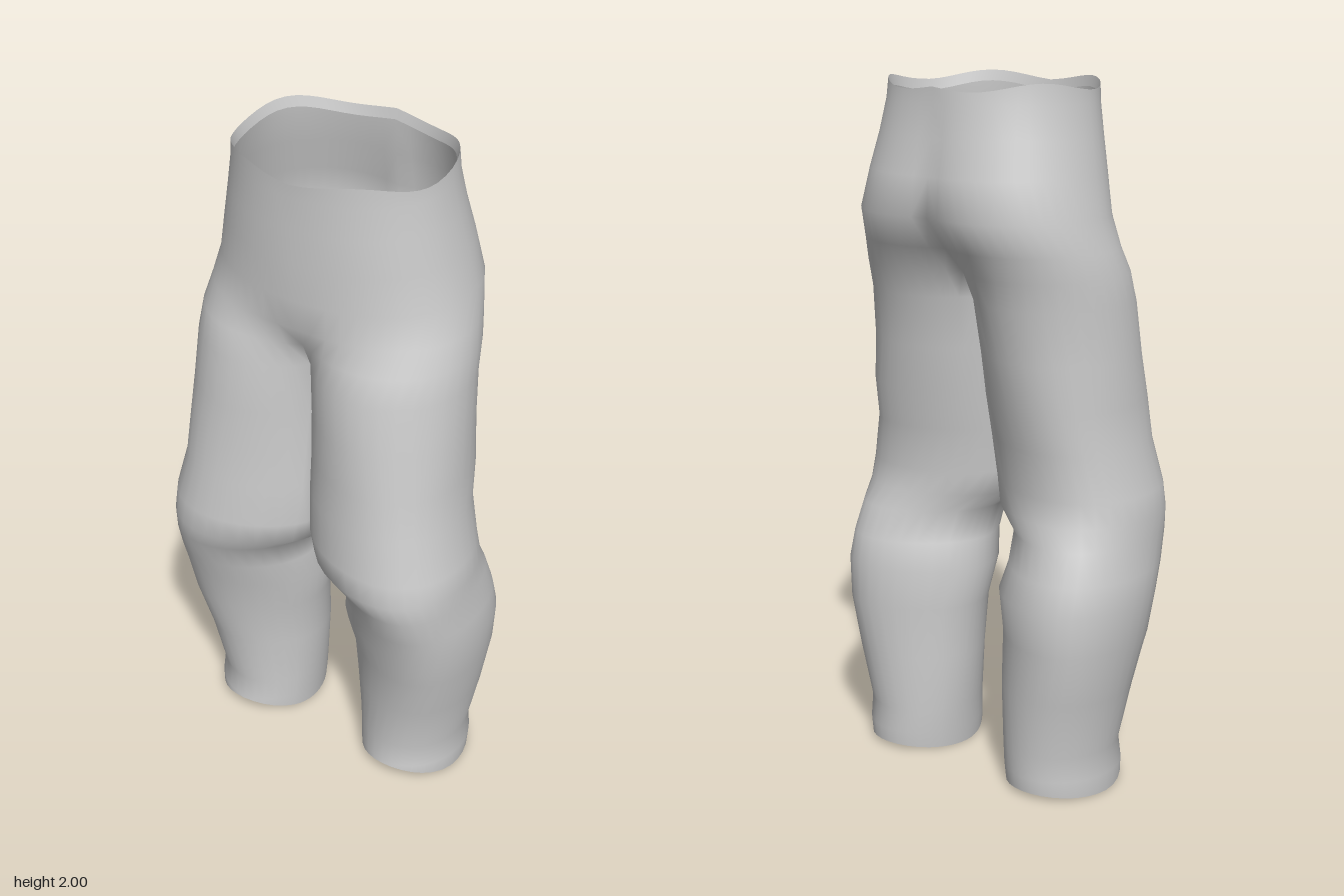
import * as THREE from 'three';
import { mergeVertices } from 'three/addons/utils/BufferGeometryUtils.js';

const { lerp, smoothstep, degToRad } = THREE.MathUtils;
const OUTER = 26, INNER = 8, RING = OUTER + INNER;
const CROTCH = 1.48;

// cross-sections of one half: y, inner x, outer x, back z, front z,
// and how far front and back have turned from a leg (0) into the hips (1)
const SECTIONS = [
  [0.003, 0.11, 0.422, -0.192, 0.172, 0, 0],
  [0.06, 0.105, 0.426, -0.195, 0.17, 0, 0],
  [0.13, 0.1, 0.42, -0.192, 0.162, 0, 0],
  [0.3, 0.085, 0.453, -0.205, 0.18, 0, 0],
  [0.45, 0.08, 0.478, -0.212, 0.212, 0, 0],
  [0.57, 0.056, 0.49, -0.214, 0.242, 0, 0],
  [0.65, 0.075, 0.484, -0.192, 0.267, 0, 0],
  [0.74, 0.07, 0.473, -0.16, 0.297, 0, 0],
  [0.8, -0.005, 0.473, -0.14, 0.316, 0, 0],
  [0.87, -0.02, 0.465, -0.13, 0.312, 0, 0],
  [1.0, -0.03, 0.433, -0.14, 0.292, 0, 0],
  [1.12, -0.03, 0.427, -0.167, 0.282, 0, 0],
  [1.25, -0.03, 0.421, -0.178, 0.27, 0, 0],
  [1.4, -0.03, 0.413, -0.205, 0.262, 0.1, 0],
  [CROTCH, -0.03, 0.407, -0.24, 0.254, 0.5, 0.2],
  [1.55, -0.03, 0.392, -0.278, 0.242, 0.92, 0.5],
  [1.64, -0.02, 0.37, -0.325, 0.238, 1, 0.72],
  [1.75, -0.02, 0.347, -0.306, 0.24, 1, 0.8],
  [1.85, -0.02, 0.325, -0.281, 0.24, 1, 0.88],
  [1.94, -0.02, 0.308, -0.265, 0.24, 1, 0.96],
  [1.987, -0.02, 0.304, -0.26, 0.242, 1, 1],
];

const soft = (v) => Math.sign(v) * Math.abs(v) ** 0.92;

// point j of a ring: 0 is the inner front, OUTER the inner back, the rest the inner leg
function ringPoint(section, j) {
  const [y, xIn, xOut, zBack, zFront, wFront, wBack] = section;
  const onOuter = j <= OUTER;
  const t = onOuter ? j / OUTER : 1 - (j - OUTER) / INNER;
  const legAngle = degToRad(onOuter ? -60 + 300 * t : 300 - 60 * t);
  const hipAngle = Math.PI * t;
  const zMid = (zFront + zBack) / 2, zRad = (zFront - zBack) / 2;
  const xMid = (xIn + xOut) / 2, xRad = (xOut - xIn) / 2;
  const w = lerp(wFront, wBack, t);
  const facing = Math.cos(legAngle) ** 2;

  // knee and calf lean outward at the front and back
  const lean = 0.045 * smoothstep(y, 0.1, 0.5) * (1 - smoothstep(y, 1, 1.4));
  const legX = Math.max(0.0005, xMid + xRad * Math.sin(legAngle) + lean * facing);
  const legZ = zMid + zRad * Math.cos(legAngle);
  let x, z;
  if (onOuter) {
    x = lerp(legX, xOut * soft(Math.sin(hipAngle)), w);
    z = lerp(legZ, zMid + zRad * soft(Math.cos(hipAngle)), w);
  } else if (w > 0) {
    // the crotch seam runs between the ends of the hip arc
    x = 0.0005;
    z = lerp(ringPoint(section, 0)[2], ringPoint(section, OUTER)[2], t);
  } else {
    x = legX;
    z = legZ;
  }
  if (y >= CROTCH && (!onOuter || j === 0 || j === OUTER)) x = 0;

  // uneven hem and waist edges
  let edge = 0;
  if (y < 0.03) edge = facing * (Math.cos(legAngle) > 0 ? 0.045 : 0.014);
  if (y > 1.98) edge = 0.012 * Math.sin(hipAngle * 4.3 - 1);
  return [x, y + edge, z];
}

// joins rows of points into a surface; sides lists 1 for left and -1 for right
function skin(rows, sides, closedAt) {
  const positions = [], indices = [];
  for (const side of sides) {
    const base = positions.length / 3;
    rows.forEach((row) => row.forEach(([x, y, z]) => positions.push(x * side, y, z)));
    for (let i = 0; i < rows.length - 1; i++) {
      const count = closedAt(i) ? RING : OUTER;
      for (let j = 0; j < count; j++) {
        const a = base + i * RING + j, b = base + i * RING + (j + 1) % RING;
        const c = b + RING, d = a + RING;
        if (side > 0) indices.push(a, b, c, a, c, d);
        else indices.push(a, c, b, a, d, c);
      }
    }
  }
  let geometry = new THREE.BufferGeometry();
  geometry.setAttribute('position', new THREE.Float32BufferAttribute(positions, 3));
  geometry.setIndex(indices);
  geometry = mergeVertices(geometry, 1e-4);
  geometry.computeVertexNormals();
  return geometry;
}

export function createModel() {
  const group = new THREE.Group();
  const cloth = new THREE.MeshStandardMaterial({ color: 0xcccccc, side: THREE.DoubleSide });
  cloth.name = 'grey cloth';
  const add = (name, geometry) => {
    const mesh = new THREE.Mesh(geometry, cloth);
    mesh.name = name;
    group.add(mesh);
  };

  const rows = SECTIONS.map((s) => Array.from({ length: RING }, (_, j) => ringPoint(s, j)));

  // both legs and the hips as one continuous cloth
  add('trousers', skin(rows, [1, -1], (i) => SECTIONS[i + 1][0] <= CROTCH));

  // hems folded inside the legs
  const hem = rows[0];
  const hemFold = hem.map(([x, y, z]) => [0.265 + (x - 0.265) * 0.9, y + 0.04, -0.01 + (z + 0.01) * 0.9]);
  add('leftHemFold', skin([hemFold, hem], [1], () => true));
  add('rightHemFold', skin([hemFold, hem], [-1], () => true));

  // waist edge folded inside
  const waist = rows[rows.length - 1];
  const waistFold = waist.map(([x, y, z]) => [x * 0.975, y - 0.03, z * 0.975]);
  add('waistFold', skin([waist, waistFold], [1, -1], () => false));

  return group;
}
